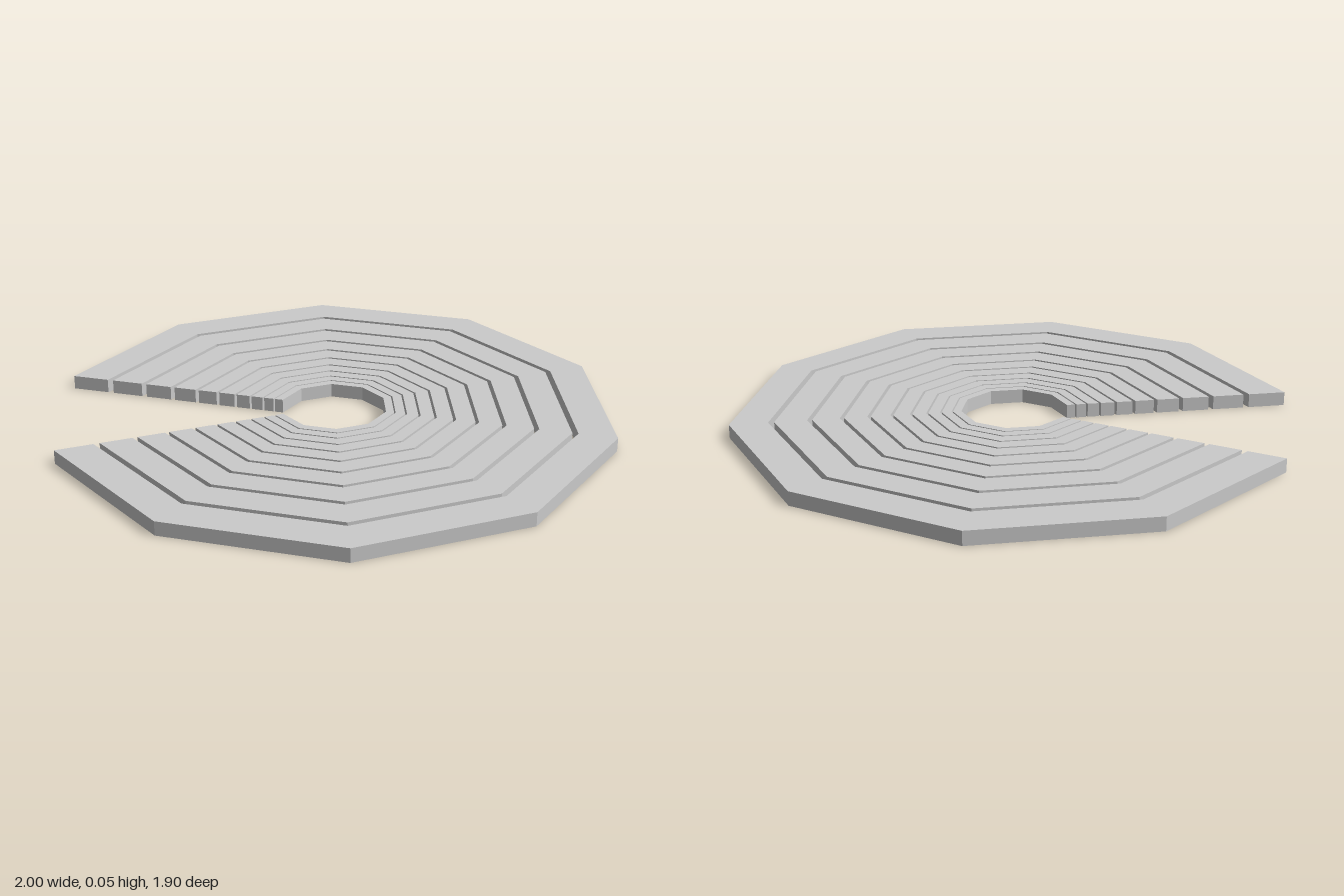
import * as THREE from 'three';

const SIDES = 10;        // decagonal rings
const SEGMENTS = 9;      // one sector is left open
const START = 4;         // first corner after the gap, in steps from +x towards +z
const RINGS = 10;
const SHRINK = 0.845;    // size of each ring relative to the one outside it
const INNER = 0.866;     // inner radius relative to outer radius
const HEIGHT = 0.05;

// Corners of an open decagon in the ground plane
function corners(radius) {
  const points = [];
  for (let i = 0; i <= SEGMENTS; i++) {
    const a = ((START + i) * 2 * Math.PI) / SIDES;
    points.push(new THREE.Vector2(radius * Math.cos(a), radius * Math.sin(a)));
  }
  return points;
}

export function createModel() {
  const model = new THREE.Group();
  model.name = 'nestedOpenRings';
  const material = new THREE.MeshStandardMaterial({ color: 0xcccccc, flatShading: true });

  // Concentric flat rings, each a scaled copy of the one outside it
  for (let i = 0; i < RINGS; i++) {
    const radius = SHRINK ** i;
    const shape = new THREE.Shape([...corners(radius), ...corners(radius * INNER).reverse()]);
    const geometry = new THREE.ExtrudeGeometry(shape, { depth: HEIGHT, bevelEnabled: false });
    geometry.rotateX(Math.PI / 2).translate(0, HEIGHT, 0);
    const ring = new THREE.Mesh(geometry, material);
    ring.name = `ring${i + 1}`;
    model.add(ring);
  }
  return model;
}
